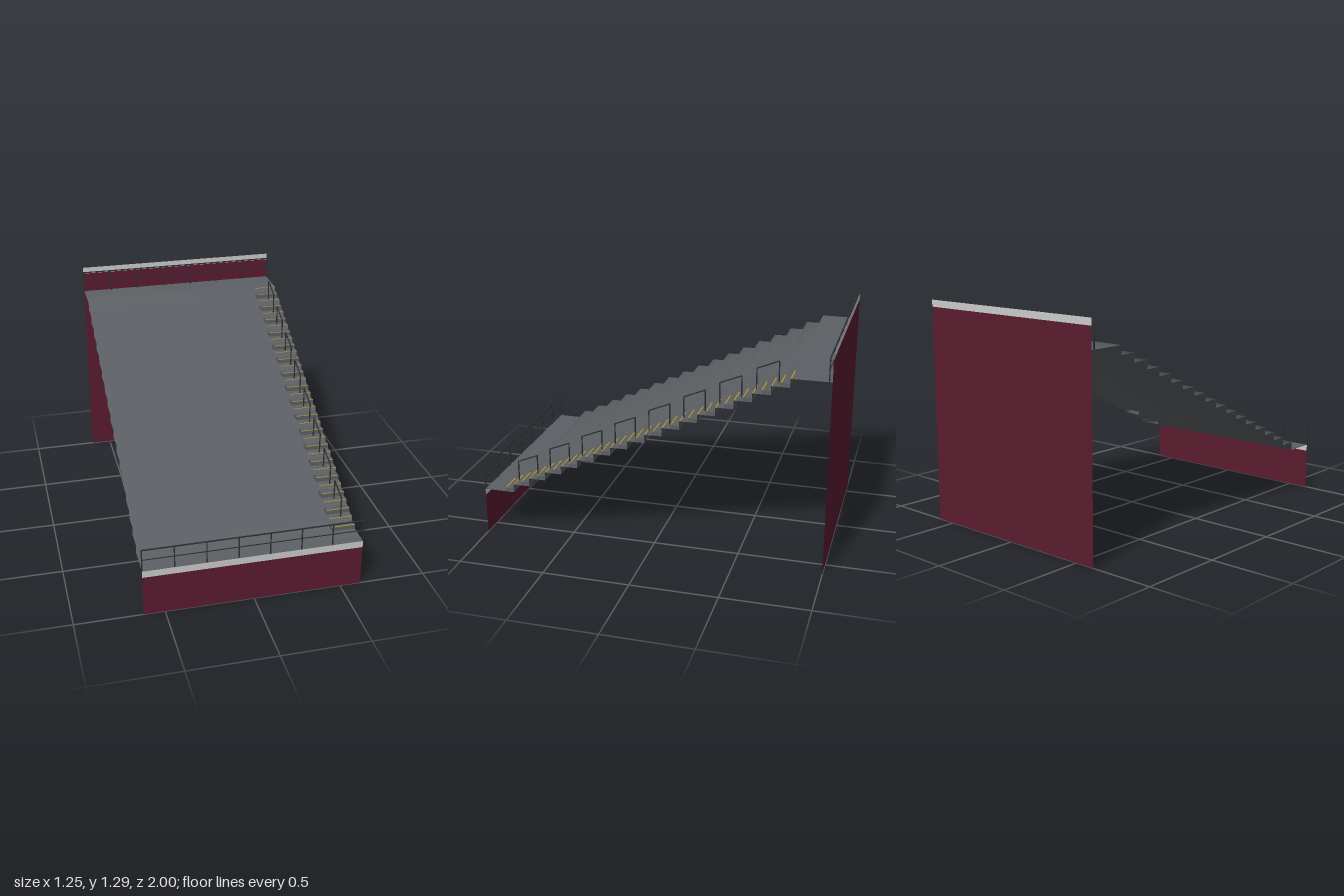
import * as THREE from 'three';

const W = 1.24, STEPS = 17, RUN = 0.1, RISE = 0.05, Y0 = 0.28, Z0 = 0.82;
const mat = (color) => new THREE.MeshStandardMaterial({ color, side: THREE.DoubleSide });

export function createModel() {
  const model = new THREE.Group();
  const concrete = mat(0x5c6064), maroon = mat(0x5a1b2f), grey = mat(0xcccccc);
  const steel = mat(0x2c3033), yellow = mat(0xb8941c);

  const add = (parent, name, geometry, material, x = 0, y = 0, z = 0) => {
    const mesh = new THREE.Mesh(geometry, material);
    mesh.name = name;
    mesh.position.set(x, y, z);
    parent.add(mesh);
    return mesh;
  };
  const group = (name) => {
    const g = new THREE.Group();
    g.name = name;
    model.add(g);
    return g;
  };

  // Stepped terrace: one thin folded sheet with shared, smoothed normals
  const profile = [[Y0, 1]];
  for (let i = 0; i < STEPS; i++) {
    const z = Z0 - i * RUN, y = Y0 + i * RISE;
    profile.push([y, z], [y + RISE, z]);
  }
  profile.push([Y0 + STEPS * RISE, -1]);
  const positions = [], index = [];
  profile.forEach(([y, z], i) => {
    positions.push(-W / 2, y, z, W / 2, y, z);
    if (i) {
      const a = 2 * i - 2;
      index.push(a, a + 1, a + 2, a + 1, a + 3, a + 2);
    }
  });
  const sheet = new THREE.BufferGeometry();
  sheet.setAttribute('position', new THREE.Float32BufferAttribute(positions, 3));
  sheet.setIndex(index);
  sheet.computeVertexNormals();
  add(model, 'terrace', sheet, concrete);

  // Thin end walls with a pale band along the top
  const wall = (name, top, z) => {
    const g = group(name), band = 0.04;
    add(g, 'wallPanel', new THREE.PlaneGeometry(W, top - band), maroon, 0, (top - band) / 2, z);
    add(g, 'wallCap', new THREE.PlaneGeometry(W, band), grey, 0, top - band / 2, z);
  };
  wall('frontWall', 0.28, 1);
  wall('backWall', 1.29, -1);

  // Aisle half-steps and painted edge strips
  const aisle = group('aisle'), aisleW = 0.135, aisleX = W / 2 - aisleW / 2;
  const blockGeo = new THREE.BoxGeometry(aisleW, 0.024, 0.05);
  const stripGeo = new THREE.PlaneGeometry(aisleW, 0.007).rotateX(-Math.PI / 2);
  for (let i = 0; i < STEPS; i++) {
    const y = Y0 + i * RISE, z = Z0 - i * RUN;
    add(aisle, 'aisleStep', blockGeo, concrete, aisleX, y + 0.012, z + 0.025);
    add(aisle, 'stepEdgeStrip', stripGeo, yellow, aisleX, y + 0.0255, z + 0.0465);
    add(aisle, 'terraceEdgeStrip', stripGeo, yellow, aisleX, y + RISE + 0.0015, z - 0.0035);
  }

  // Sloping handrails, one for every two rows
  const handrails = group('handrails'), T = 0.006, postH = 0.12;
  const postGeo = new THREE.BoxGeometry(T, postH, T);
  const barGeo = new THREE.BoxGeometry(T, T, Math.hypot(0.12, RISE));
  for (let i = 0; i < 8; i++) {
    const y = 0.33 + i * 2 * RISE, z = 0.81 - i * 2 * RUN;
    add(handrails, 'handrailPost', postGeo, steel, 0.553, y + postH / 2, z);
    add(handrails, 'handrailPost', postGeo, steel, 0.553, y + RISE + postH / 2, z - 0.12);
    const bar = add(handrails, 'handrailBar', barGeo, steel, 0.553, y + postH + RISE / 2, z - 0.06);
    bar.rotation.x = Math.atan2(RISE, 0.12);
  }

  // Guard rails across the front and back
  const guardRail = (name, y, z) => {
    const g = group(name), h = 0.135;
    for (let i = 0; i < 8; i++)
      add(g, 'guardPost', new THREE.BoxGeometry(T, h, T), steel, -W / 2 + (W * i) / 7, y + h / 2, z);
    for (const [rail, t] of [[h - T / 2, T], [0.07, 0.004]])
      add(g, 'guardBar', new THREE.BoxGeometry(W, t, t), steel, 0, y + rail, z);
  };
  guardRail('frontGuardRail', 0.28, 0.997);
  guardRail('backGuardRail', 1.13, -0.983);

  return model;
}
